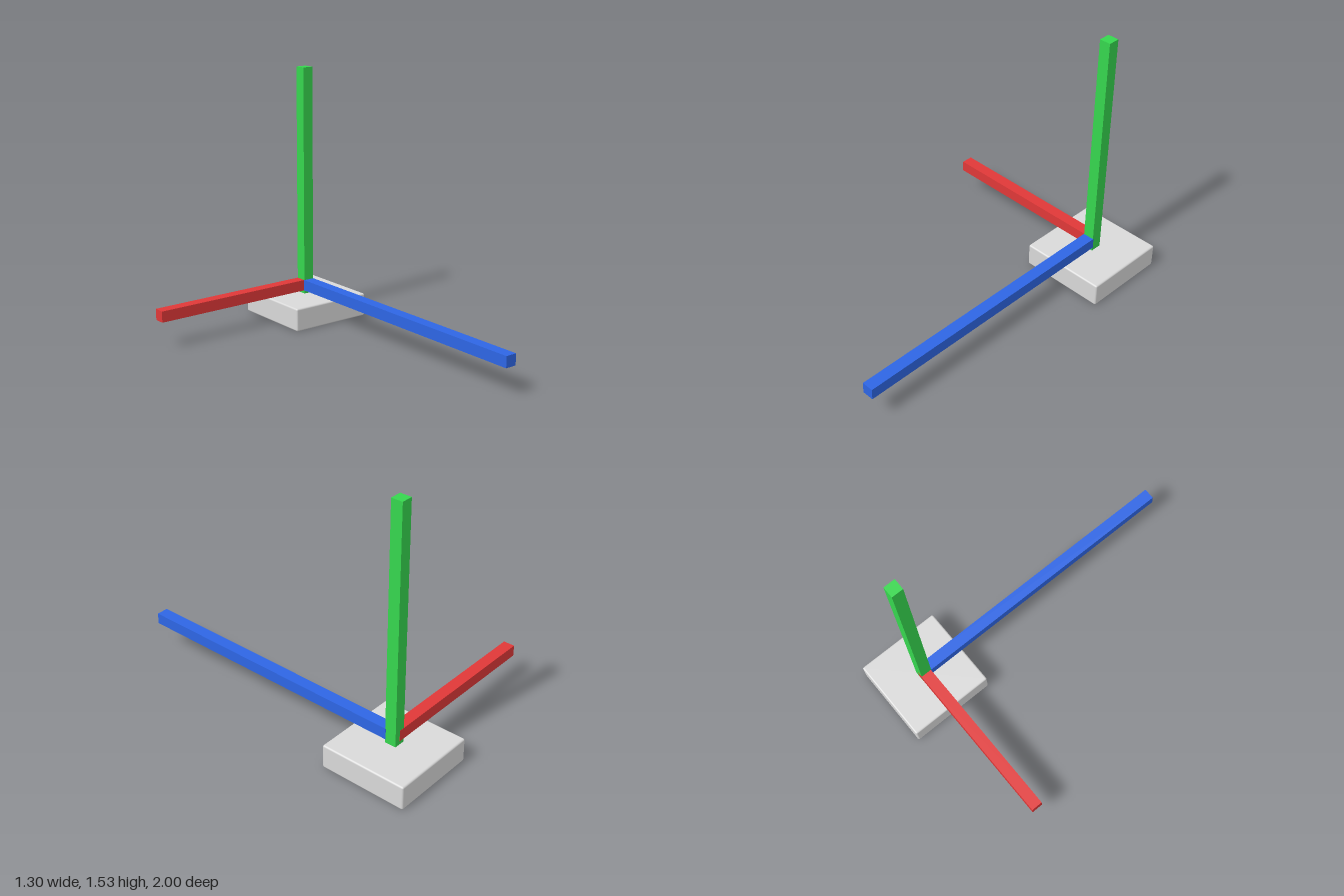
import * as THREE from 'three';
import { RoundedBoxGeometry } from 'three/addons/geometries/RoundedBoxGeometry.js';

function material(name, color) {
  const m = new THREE.MeshStandardMaterial({ color });
  m.name = name;
  return m;
}

export function createModel() {
  const group = new THREE.Group();
  group.name = 'axisStand';

  // Adds a box spanning two opposite corners, with an optional rounded edge
  function block(name, mat, min, max, radius = 0) {
    const size = max.map((v, i) => v - min[i]);
    const geometry = radius
      ? new RoundedBoxGeometry(...size, 2, radius)
      : new THREE.BoxGeometry(...size);
    const mesh = new THREE.Mesh(geometry, mat);
    mesh.name = name;
    mesh.position.set(...max.map((v, i) => (v + min[i]) / 2));
    group.add(mesh);
  }

  // Square base slab with softened edges
  block('base', material('grey', 0xd9d9d9), [0.13, 0, -1], [0.65, 0.14, -0.48], 0.01);

  // Upright post standing on the base
  block('uprightPost', material('green', 0x36d64e), [0.356, 0.139, -0.774], [0.423, 1.53, -0.706]);

  // Sideways arm, let into the middle of the post
  block('sideArm', material('red', 0xe03838), [-0.65, 0.16, -0.775], [0.389, 0.226, -0.708]);

  // Long forward arm, let slightly into the post
  block('forwardArm', material('blue', 0x2e66e4), [0.355, 0.16, -0.71], [0.424, 0.226, 1]);

  return group;
}
